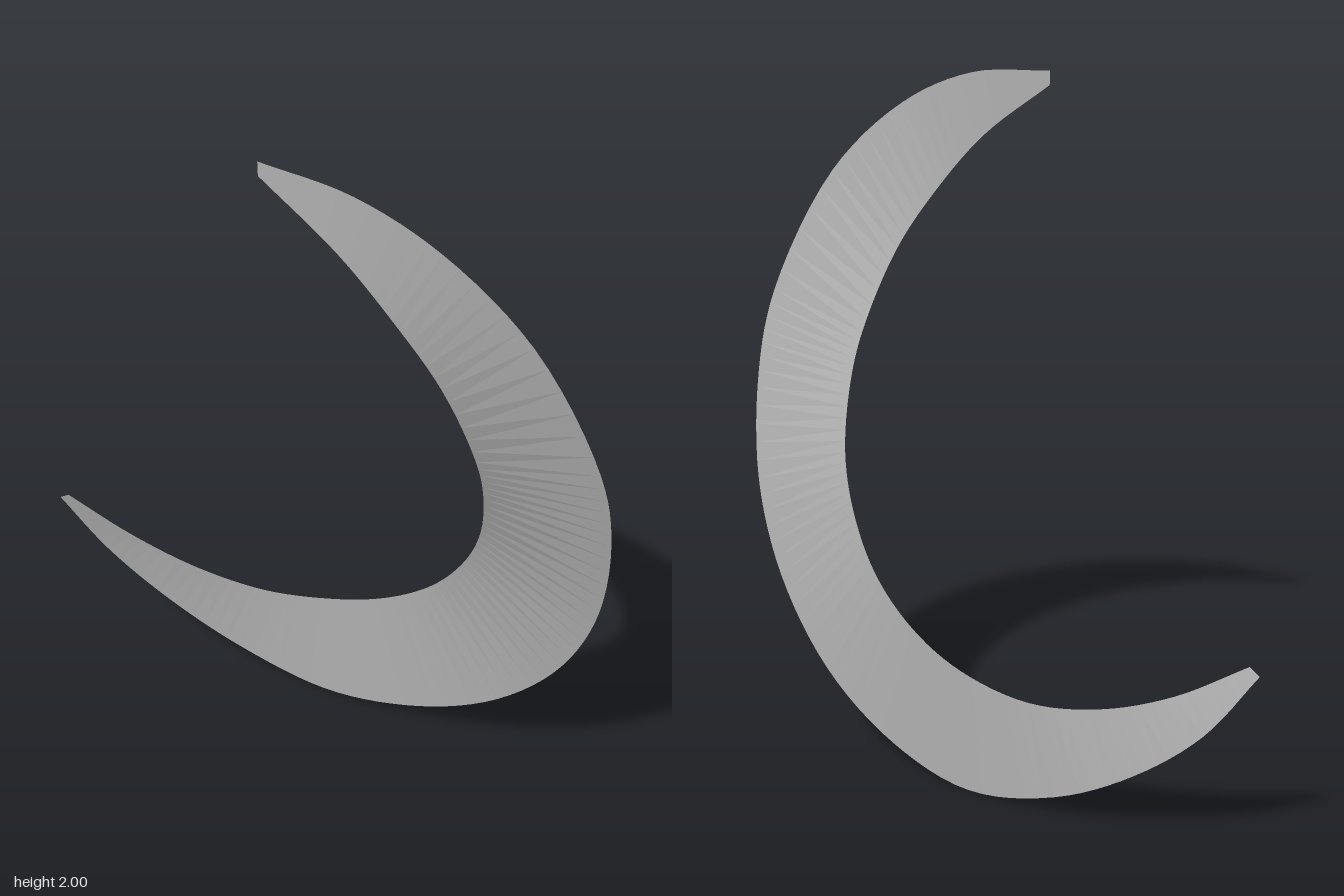
import * as THREE from 'three';

// Ribbon stations: angle in degrees, outer radius, inner radius, depth z
const STATIONS = [
  [92, 0.92, 0.88, 0.205],
  [74.5, 0.925, 0.747, 0.2],
  [58, 0.927, 0.66, 0.178],
  [38, 0.923, 0.598, 0.128],
  [12.5, 0.92, 0.553, 0.045],
  [-3, 0.922, 0.541, -0.01],
  [-23, 0.938, 0.542, -0.08],
  [-41, 0.965, 0.56, -0.13],
  [-60, 1.0, 0.6, -0.173],
  [-78, 1.04, 0.655, -0.198],
  [-94, 1.08, 0.722, -0.204],
  [-110, 1.083, 0.81, -0.183],
  [-124, 1.085, 0.885, -0.142],
  [-137, 1.092, 0.962, -0.092],
  [-149, 1.085, 1.047, -0.033],
];
const CENTRE_Y = 1.08;
const SEGMENTS = 84;

// Smooth edge curve through the stations, using the radius in the given column
function edgeCurve(column) {
  return new THREE.CatmullRomCurve3(STATIONS.map((s) => {
    const a = THREE.MathUtils.degToRad(s[0]);
    return new THREE.Vector3(s[column] * Math.cos(a), CENTRE_Y + s[column] * Math.sin(a), s[3]);
  }));
}

// Thin ribbon joining the two edges, front side facing +z
function ribbonGeometry(outer, inner) {
  const positions = [];
  const indices = [];
  for (let i = 0; i <= SEGMENTS; i++) {
    const t = i / SEGMENTS;
    positions.push(...outer.getPoint(t).toArray(), ...inner.getPoint(t).toArray());
    if (i < SEGMENTS) {
      const o = i * 2;
      indices.push(o, o + 1, o + 3, o, o + 3, o + 2);
    }
  }
  const geometry = new THREE.BufferGeometry();
  geometry.setAttribute('position', new THREE.Float32BufferAttribute(positions, 3));
  geometry.setIndex(indices);
  geometry.computeVertexNormals();
  return geometry;
}

export function createModel() {
  const group = new THREE.Group();
  group.name = 'crescent';

  const grey = new THREE.MeshStandardMaterial({
    color: 0xb0b0b0, side: THREE.DoubleSide, flatShading: true,
  });
  grey.name = 'grey';

  // Twisted crescent blade
  const blade = new THREE.Mesh(ribbonGeometry(edgeCurve(1), edgeCurve(2)), grey);
  blade.name = 'crescentBlade';
  group.add(blade);
  return group;
}
